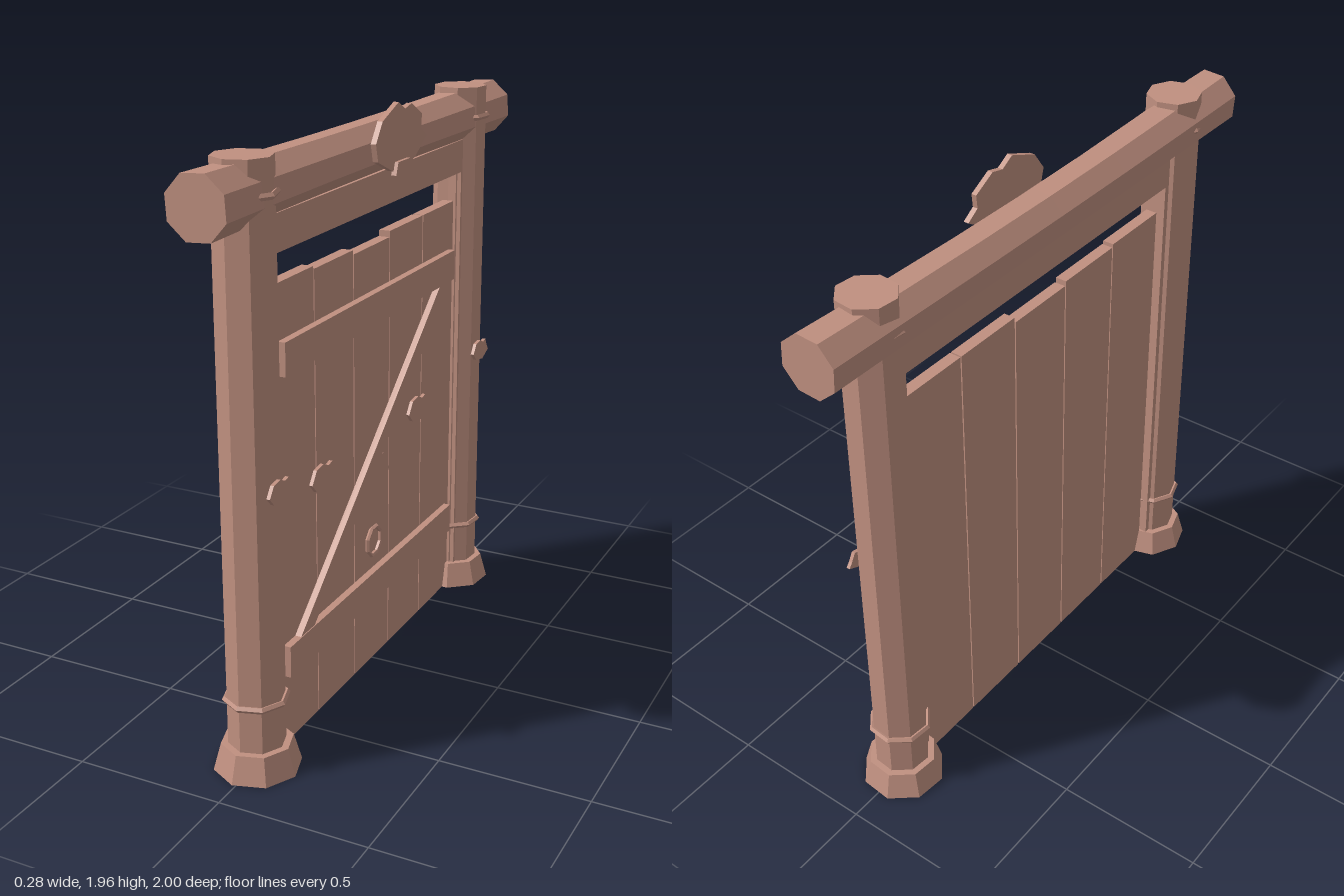
import * as THREE from 'three';

const wood = new THREE.MeshStandardMaterial({ color: 0xc09080 });
wood.name = 'rosy wood';
const RAD = Math.PI / 180;

export function createModel() {
  const group = new THREE.Group();

  // Adds a faceted mesh
  function add(name, geometry, x = 0, y = 0, z = 0) {
    const flat = geometry.index ? geometry.toNonIndexed() : geometry;
    flat.computeVertexNormals();
    const mesh = new THREE.Mesh(flat, wood);
    mesh.name = name;
    mesh.position.set(x, y, z);
    group.add(mesh);
    return mesh;
  }

  // Box given by its limits
  function box(name, x0, x1, y0, y1, z0, z1) {
    return add(name, new THREE.BoxGeometry(x1 - x0, y1 - y0, z1 - z0),
      (x0 + x1) / 2, (y0 + y1) / 2, (z0 + z1) / 2);
  }

  // Flat cut-out facing +x, outlined by [z, y] points
  function plate(name, points, x, depth, y = 0, z = 0, size = 1) {
    const shape = new THREE.Shape(points.map(([pz, py]) => new THREE.Vector2(-pz * size, py * size)));
    const geo = new THREE.ExtrudeGeometry(shape, { depth, bevelEnabled: false });
    geo.rotateY(Math.PI / 2);
    return add(name, geo, x, y, z);
  }

  // Posts with flared feet and lashings
  for (const [z, turn] of [[0.765, -5], [-0.755, 17]]) {
    const prism = (top, bottom, h) =>
      new THREE.CylinderGeometry(top, bottom, h, 8, 1, false, turn * RAD);
    add('post', prism(0.092, 0.092, 1.915), 0, 0.9575, z);
    add('postFoot', prism(0.115, 0.14, 0.09), 0, 0.045, z);
    for (const y of [0.243, 1.81]) {
      const ring = new THREE.TorusGeometry(0.096, 0.011, 5, 8);
      ring.rotateX(Math.PI / 2);
      ring.rotateY(turn * RAD);
      add('lashing', ring, 0, y, z);
    }
  }

  // Top beam, slimmer toward its middle
  const beam = new THREE.CylinderGeometry(0.1, 0.1, 2, 8, 6, false, 26 * RAD);
  beam.rotateX(Math.PI / 2);
  const p = beam.attributes.position;
  for (let i = 0; i < p.count; i++) {
    const f = 1 - p.getZ(i) ** 2;
    const s = 1 - 0.1 * f;
    p.setXY(i, p.getX(i) * s - 0.01 * f, p.getY(i) * s - 0.004 * f);
  }
  add('topBeam', beam, -0.005, 1.81, 0);

  // Inner frame
  box('lintel', -0.045, 0.045, 1.62, 1.735, -0.7, 0.7);
  for (const s of [1, -1]) box('jamb', -0.045, 0.045, 0, 1.62, s * 0.685 - 0.015, s * 0.685 + 0.015);

  // Door planks
  [1.52, 1.51, 1.495, 1.515, 1.515].forEach((top, i) => {
    const z = (2 - i) * 0.2655;
    box('plank', -0.02, 0.02, 0, top, z - 0.13, z + 0.13);
  });

  // Rails and diagonal brace
  box('lowerRail', 0.02, 0.045, 0.243, 0.35, -0.625, 0.625);
  box('upperRail', 0.02, 0.045, 1.238, 1.345, -0.625, 0.625);
  plate('brace', [[0.55, 0.35], [0.46, 0.35], [-0.595, 1.238], [-0.505, 1.238]], 0.02, 0.022);

  // Leaf-like ornaments
  const leaf = [[0.085, 0.002], [0.055, 0.043], [0.01, 0.05], [-0.025, 0.034],
    [-0.05, 0.04], [-0.07, 0.005], [-0.085, -0.015], [-0.02, -0.044], [0.055, -0.03]];
  plate('doorOrnament', leaf, 0.02, 0.012, 0.822, 0.36);
  plate('doorOrnament', leaf, 0.02, 0.012, 0.822, -0.36);
  plate('postOrnament', leaf, 0.09, 0.012, 0.937, 0.76, 0.83);
  plate('postOrnament', leaf, 0.09, 0.012, 0.937, -0.76, 0.83);
  plate('centreOrnament', [[0.085, 0.67], [0.06, 0.73], [-0.03, 0.765], [-0.07, 0.755],
    [-0.08, 0.715], [-0.112, 0.69], [-0.06, 0.66], [-0.01, 0.642], [0.03, 0.655]], 0.02, 0.014);

  // Door ring
  const ring = new THREE.TorusGeometry(0.052, 0.008, 5, 8);
  ring.rotateZ(22.5 * RAD);
  ring.rotateY(Math.PI / 2);
  add('doorRing', ring, 0.028, 0.455, 0);

  // Crest on the beam
  plate('crest', [[0.18, 1.857], [0.134, 1.92], [0.02, 1.964], [-0.027, 1.937], [-0.075, 1.948],
    [-0.155, 1.905], [-0.15, 1.86], [-0.195, 1.83], [-0.11, 1.777], [-0.05, 1.755],
    [0.06, 1.755], [0.165, 1.80]], 0.103, 0.018);
  plate('crestTab', [[0.045, 1.782], [-0.045, 1.782], [-0.058, 1.745], [0.06, 1.742]], 0.115, 0.018);

  return group;
}
